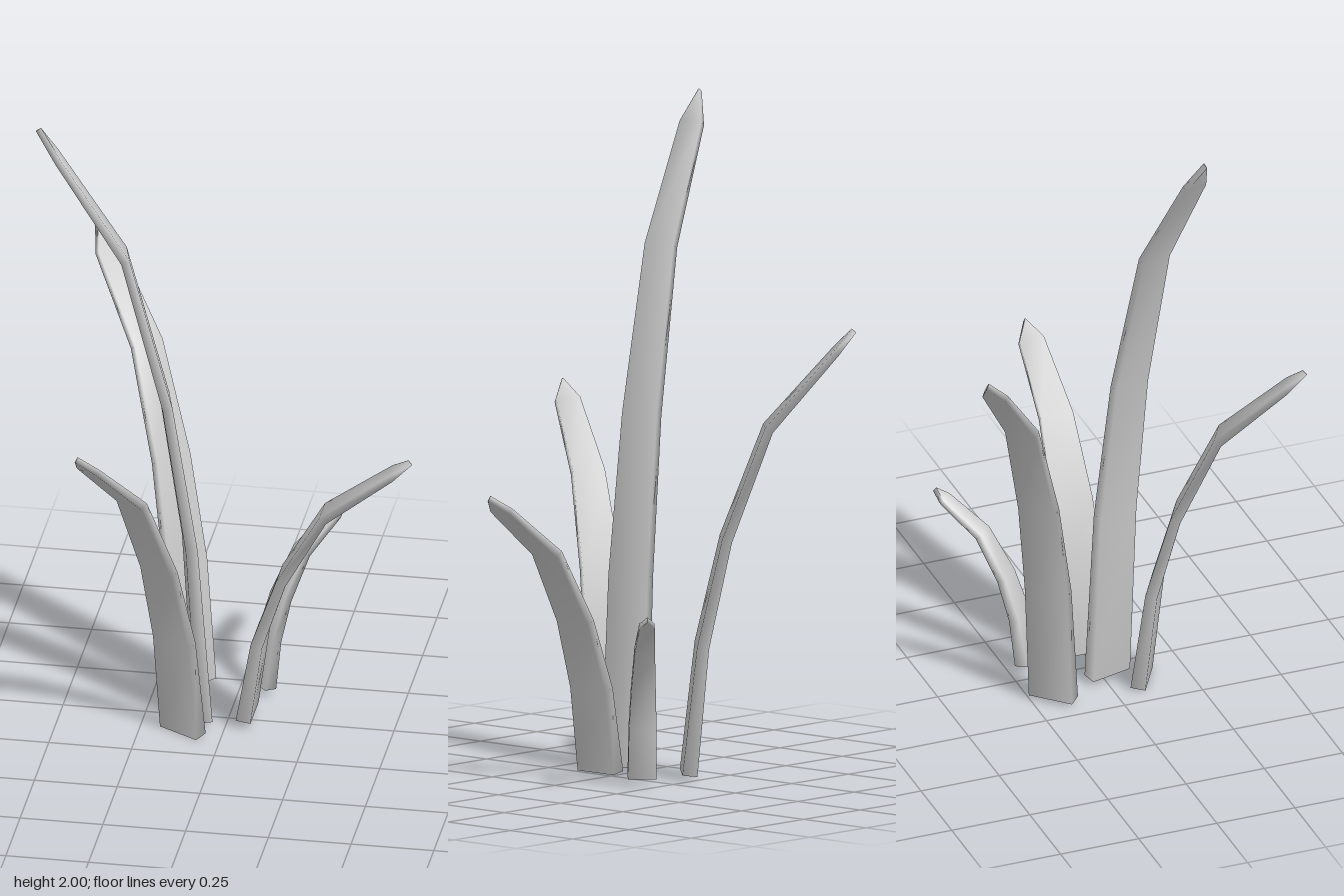
import * as THREE from 'three';

const material = new THREE.MeshStandardMaterial({ color: 0xcccccc });

// Shared blade outline: [reach fraction, height fraction, width fraction, thickness fraction]
const RINGS = [
  [0, 0, 1, 1],
  [0.08, 0.29, 0.97, 0.8],
  [0.225, 0.53, 0.86, 0.68],
  [0.48, 0.78, 0.71, 0.6],
  [0.89, 0.953, 0.54, 0.45],
  [1, 1, 0.02, 0.4],
];

// Curved, tapering blade with a four-sided section, bending towards local +x
function bladeGeometry(reach, height, width, thickness) {
  const centres = RINGS.map(([r, h]) => new THREE.Vector2(r * reach, h * height));
  const last = RINGS.length - 1;
  const positions = [];
  const indices = [0, 2, 1, 0, 3, 2];

  RINGS.forEach(([, , w, t], i) => {
    const c = centres[i];
    // Tangent is the mean direction of the neighbouring segments
    const tangent = new THREE.Vector2();
    if (i > 0) tangent.add(c.clone().sub(centres[i - 1]).normalize());
    if (i < last) tangent.add(centres[i + 1].clone().sub(c).normalize());
    tangent.normalize();
    for (const [n, s] of [[1, -1], [1, 1], [-1, 1], [-1, -1]]) {
      const off = n * t * thickness / 2;
      positions.push(c.x + tangent.y * off, c.y - tangent.x * off, -s * w * width / 2);
    }
    if (i === last) return;
    for (let j = 0; j < 4; j++) {
      const a = i * 4 + j, b = i * 4 + (j + 1) % 4;
      indices.push(a, b, b + 4, a, b + 4, a + 4);
    }
  });
  const e = last * 4;
  indices.push(e, e + 1, e + 2, e, e + 2, e + 3);

  const geometry = new THREE.BufferGeometry();
  geometry.setAttribute('position', new THREE.Float32BufferAttribute(positions, 3));
  geometry.setIndex(indices);
  geometry.computeVertexNormals();
  return geometry;
}

// Base x, y, z, then tip x, y, z, base width and base thickness
const BLADES = [
  ['tallBlade', [-0.075, 0.02, 0.013], [-0.55, 1.993, 0.14], 0.135, 0.045],
  ['backRightBlade', [-0.14, 0.015, -0.185], [-0.49, 1.343, -0.532], 0.14, 0.045],
  ['frontRightBlade', [-0.12, 0.005, 0.105], [-0.368, 1.1, 0.53], 0.14, 0.045],
  ['leftBlade', [0.055, 0.025, -0.007], [0.548, 0.9, -0.007], 0.143, 0.045],
  ['shortBlade', [0.07, 0.025, -0.188], [0.28, 0.545, -0.4], 0.085, 0.04],
];

export function createModel() {
  const model = new THREE.Group();
  model.name = 'grassTuft';
  for (const [name, base, tip, width, thickness] of BLADES) {
    const dx = tip[0] - base[0], dz = tip[2] - base[2];
    const blade = new THREE.Mesh(
      bladeGeometry(Math.hypot(dx, dz), tip[1] - base[1], width, thickness), material);
    blade.name = name;
    blade.position.set(...base);
    blade.rotation.y = Math.atan2(-dz, dx);
    model.add(blade);
  }
  return model;
}
